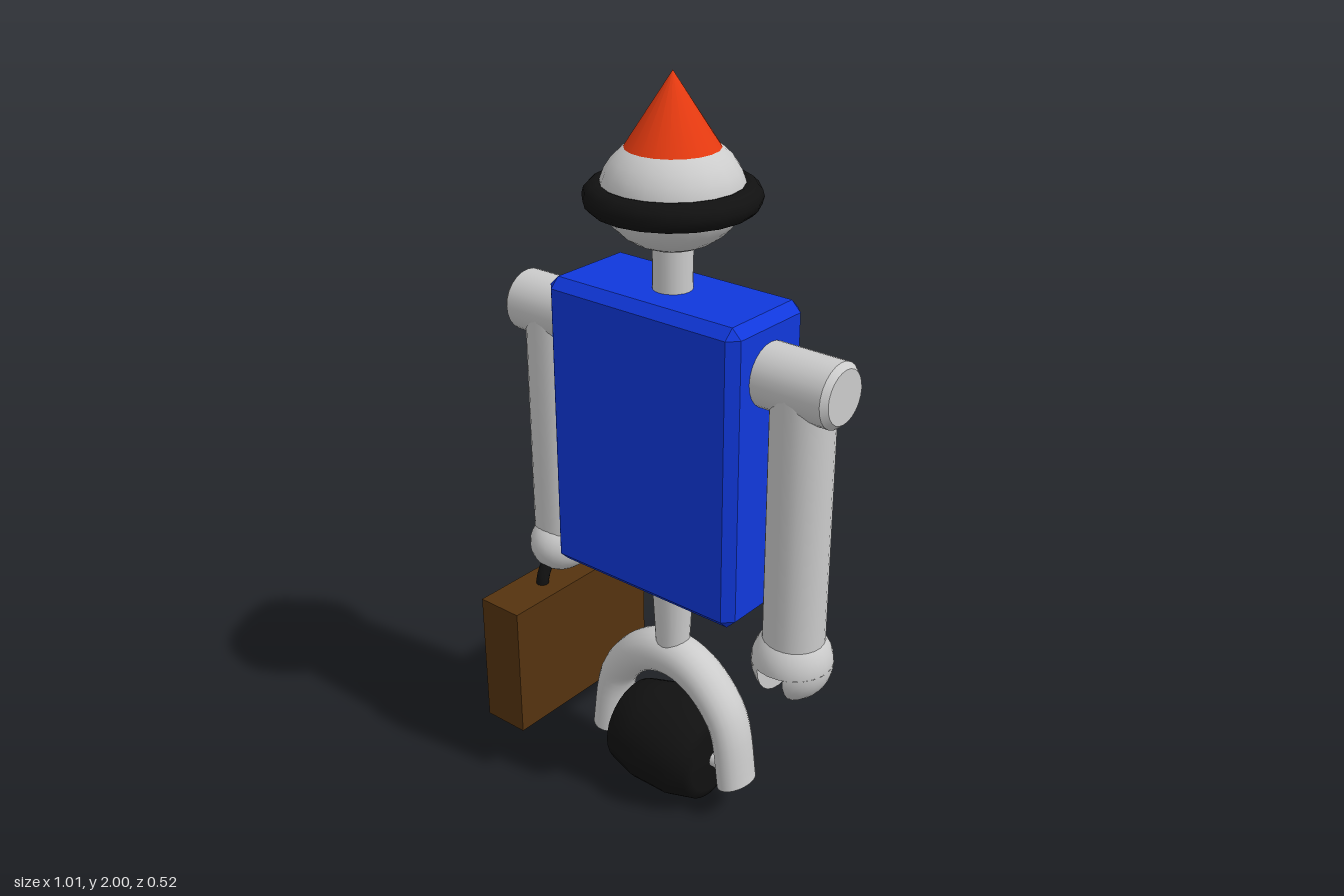
import * as THREE from 'three';
import { ConvexGeometry } from 'three/addons/geometries/ConvexGeometry.js';

const mat = (color) => new THREE.MeshStandardMaterial({ color, side: THREE.DoubleSide });

export function createModel() {
  const grey = mat(0xcccccc), blue = mat(0x1038dc), black = mat(0x111111);
  const brown = mat(0x55330f), orange = mat(0xe63a10);
  const robot = new THREE.Group();
  robot.name = 'robot';

  const add = (name, geo, material, x = 0, y = 0, z = 0, parent = robot) => {
    const m = new THREE.Mesh(geo, material);
    m.name = name;
    m.position.set(x, y, z);
    parent.add(m);
    return m;
  };

  // Torso: box with every edge chamfered
  const [a, b, d, c] = [0.295, 0.4, 0.142, 0.026];
  const corners = [];
  for (const sx of [-1, 1]) for (const sy of [-1, 1]) for (const sz of [-1, 1]) {
    corners.push(
      new THREE.Vector3(sx * a, sy * (b - c), sz * (d - c)),
      new THREE.Vector3(sx * (a - c), sy * b, sz * (d - c)),
      new THREE.Vector3(sx * (a - c), sy * (b - c), sz * d));
  }
  add('torso', new ConvexGeometry(corners), blue, 0, 1.08, 0);

  // Head
  add('neck', new THREE.CylinderGeometry(0.05, 0.05, 0.2, 20), grey, 0, 1.54, 0);
  add('head', new THREE.SphereGeometry(0.175, 20, 16).scale(1, 0.8, 1), grey, 0, 1.72, 0);
  add('headRing', new THREE.TorusGeometry(0.18, 0.035, 12, 20).rotateX(Math.PI / 2), black, 0, 1.71, 0);
  add('coneHat', new THREE.ConeGeometry(0.118, 0.18, 20), orange, 0, 1.91, 0);

  // Shoulders with bevelled ends, and arms
  for (const s of [-1, 1]) {
    const side = s > 0 ? 'left' : 'right';
    const mx = s * 0.375;
    add(side + 'Shoulder', new THREE.CylinderGeometry(0.082, 0.082, 0.23, 24, 1, true).rotateZ(-s * Math.PI / 2), grey, mx, 1.335, 0);
    add(side + 'ShoulderBevel', new THREE.CylinderGeometry(0.068, 0.082, 0.015, 24).rotateZ(-s * Math.PI / 2), grey, s * 0.4975, 1.335, 0);
    add(side + 'Arm', new THREE.CylinderGeometry(0.08, 0.08, 0.71, 24), grey, s * 0.393, 0.975, 0);
  }

  // Left hand: ball with a slot cut up through its lower half
  const claw = new THREE.Group();
  claw.name = 'leftHand';
  claw.position.set(0.391, 0.58, 0);
  robot.add(claw);
  const R = 0.105, gap = 0.038;
  add('palm', new THREE.SphereGeometry(R, 24, 8, 0, Math.PI * 2, 0, Math.PI / 2), grey, 0, 0, 0, claw);
  add('palmBase', new THREE.CircleGeometry(R, 24).rotateX(Math.PI / 2), grey, 0, 0, 0, claw);
  for (const turn of [0, Math.PI]) {
    const finger = new THREE.Group();
    finger.name = 'finger';
    finger.rotation.y = turn;
    claw.add(finger);
    add('fingerOuter', new THREE.SphereGeometry(R, 12, 8, Math.PI / 2, Math.PI, 0, Math.acos(gap / R)).rotateZ(-Math.PI / 2), grey, 0, 0, 0, finger);
    add('fingerInner', new THREE.CircleGeometry(Math.sqrt(R * R - gap * gap), 12, Math.PI, Math.PI).rotateY(-Math.PI / 2), grey, gap, 0, 0, finger);
  }

  // Right hand holding the case
  add('rightHand', new THREE.SphereGeometry(1, 24, 16).scale(0.085, 0.087, 0.105), grey, -0.393, 0.648, 0);
  add('case', new THREE.BoxGeometry(0.133, 0.38, 0.524), brown, -0.393, 0.355, 0);
  add('caseHandle', new THREE.TorusGeometry(0.094, 0.018, 10, 16, Math.PI).rotateY(Math.PI / 2), black, -0.393, 0.535, 0);

  // Waist post and fork arch; the tube is narrower in x than in y and z
  add('waist', new THREE.CylinderGeometry(0.058, 0.045, 0.25, 20), grey, 0, 0.575, 0);
  const squash = 0.74;
  const half = [[0.225, 0.11], [0.203, 0.26], [0.181, 0.315], [0.12, 0.385], [0.06, 0.42]];
  const path = [...half, [0, 0.43], ...half.slice().reverse().map(([x, y]) => [-x, y])]
    .map(([x, y]) => new THREE.Vector3(x / squash, y, 0));
  const curve = new THREE.CatmullRomCurve3(path);
  add('fork', new THREE.TubeGeometry(curve, 32, 0.063, 20).scale(squash, 1, 1), grey);
  for (const t of [0, 1]) {
    const out = curve.getTangentAt(t).multiplyScalar(t ? 1 : -1);
    const turn = new THREE.Quaternion().setFromUnitVectors(new THREE.Vector3(0, 0, 1), out);
    const cap = new THREE.CircleGeometry(0.063, 20).applyQuaternion(turn).scale(squash, 1, 1);
    add('forkEnd', cap, grey, t ? -0.225 : 0.225, 0.11, 0);
  }

  // Wheel and axle
  const profile = [[0, -0.148], [0.098, -0.148], [0.124, -0.136], [0.145, -0.055],
    [0.145, 0.055], [0.124, 0.136], [0.098, 0.148], [0, 0.148]].map(([x, y]) => new THREE.Vector2(x, y));
  add('wheel', new THREE.LatheGeometry(profile, 32).rotateZ(Math.PI / 2), black, 0, 0.147, 0);
  add('axle', new THREE.CylinderGeometry(0.023, 0.023, 0.42, 16).rotateZ(Math.PI / 2), grey, 0, 0.147, 0);

  return robot;
}
